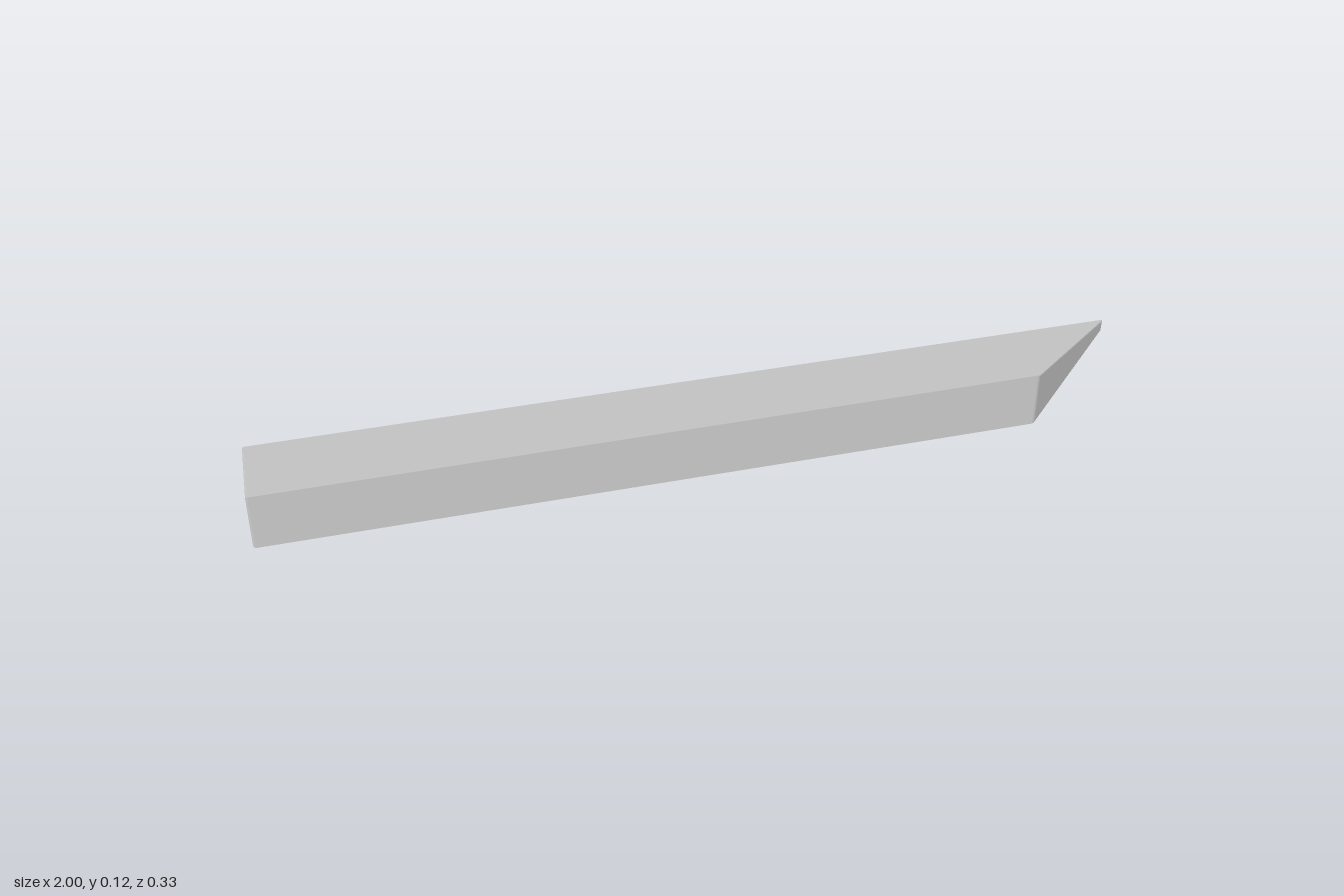
import * as THREE from 'three';

export function createModel() {
  const group = new THREE.Group();
  const length = 2, bevel = 0.004, halfDepth = 0.165, mitre = 0.32;

  // Wedge cross-section: tall front edge, thin back edge (shape x is -z)
  const profile = new THREE.Shape([
    new THREE.Vector2(-0.165, 0),
    new THREE.Vector2(0.162, 0),
    new THREE.Vector2(0.165, 0.027),
    new THREE.Vector2(-0.162, 0.122),
  ]);

  // Run the section along x with finely eased ends
  const geometry = new THREE.ExtrudeGeometry(profile, {
    depth: length - 2 * bevel,
    bevelEnabled: true,
    bevelThickness: bevel,
    bevelSize: bevel,
    bevelOffset: -bevel,
    bevelSegments: 2,
  });
  geometry.translate(0, 0, bevel - length / 2);
  geometry.rotateY(Math.PI / 2);

  // Mitre the +x end so that the front edge is shorter than the back
  const p = geometry.attributes.position;
  for (let i = 0; i < p.count; i++) {
    if (p.getX(i) > 0) {
      const t = (p.getZ(i) + halfDepth) / (2 * halfDepth);
      p.setX(i, p.getX(i) - mitre * t);
    }
  }
  geometry.computeVertexNormals();

  const wedge = new THREE.Mesh(
    geometry,
    new THREE.MeshStandardMaterial({ color: 0xcccccc, flatShading: true })
  );
  wedge.name = 'mitredWedge';
  group.add(wedge);
  return group;
}
